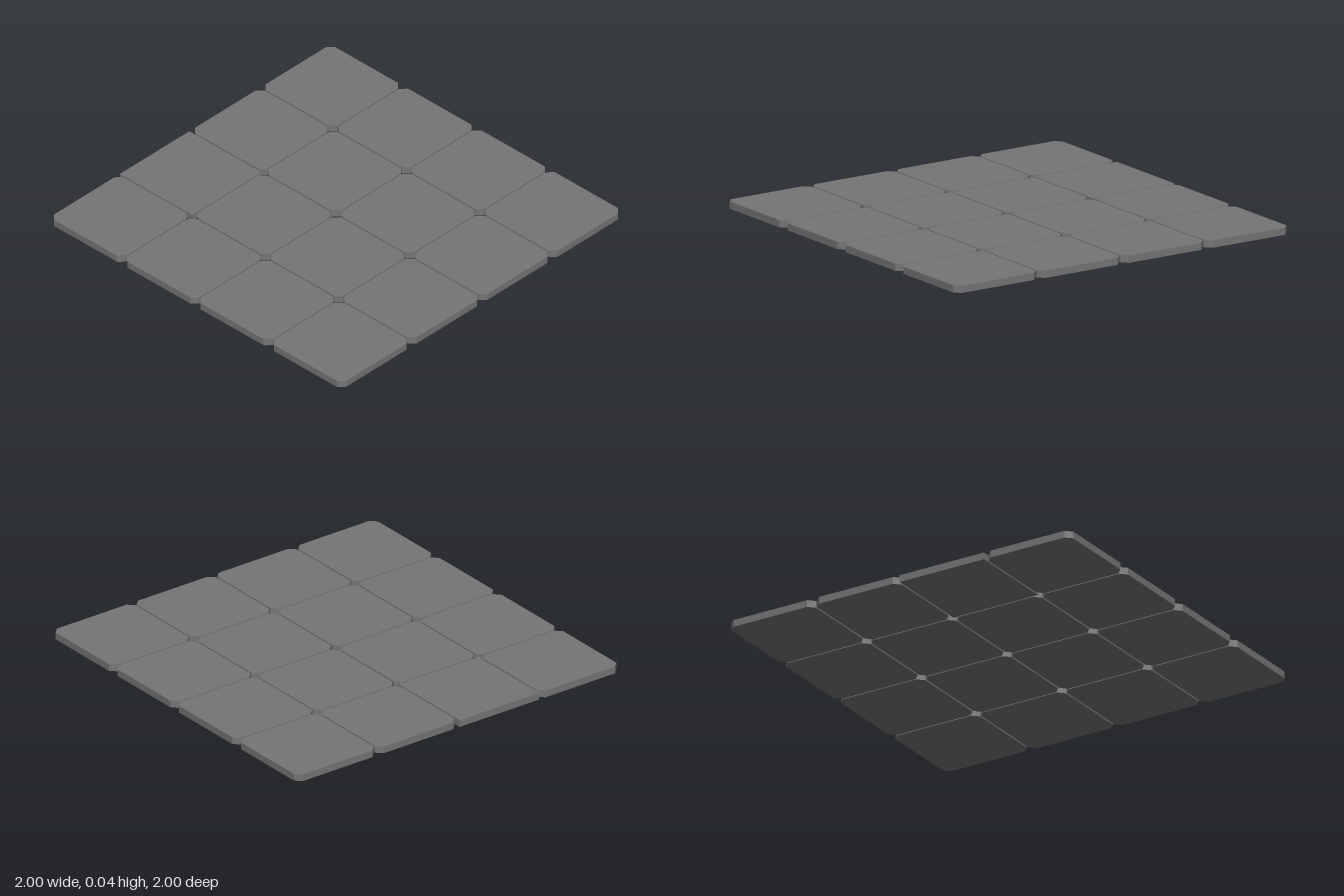
import * as THREE from 'three';

const COUNT = 4, GAP = 0.008, HEIGHT = 0.037, CHAMFER = 0.031;
const SIZE = (2 - GAP * (COUNT - 1)) / COUNT;

// Square slab with its four corners cut off diagonally
function chamferedTile() {
  const h = SIZE / 2, k = h - CHAMFER;
  const outline = [[k, -h], [h, -k], [h, k], [k, h], [-k, h], [-h, k], [-h, -k], [-k, -h]];
  const shape = new THREE.Shape(outline.map(([x, y]) => new THREE.Vector2(x, y)));
  return new THREE.ExtrudeGeometry(shape, { depth: HEIGHT, bevelEnabled: false }).rotateX(-Math.PI / 2);
}

export function createModel() {
  const group = new THREE.Group();
  group.name = 'tiledFloor';
  const material = new THREE.MeshStandardMaterial({ color: 0x757575, flatShading: true });
  const chamfered = chamferedTile();
  const plain = new THREE.BoxGeometry(SIZE, HEIGHT, SIZE).translate(0, HEIGHT / 2, 0);

  // Grid of tiles, back row first; one tile in the back row keeps its square corners
  for (let row = 0; row < COUNT; row++) {
    for (let col = 0; col < COUNT; col++) {
      const isPlain = row === 0 && col === 1;
      const tile = new THREE.Mesh(isPlain ? plain : chamfered, material);
      tile.name = isPlain ? 'squareTile' : `tile_${row + 1}_${col + 1}`;
      tile.position.set(
        -1 + SIZE / 2 + col * (SIZE + GAP), 0,
        -1 + SIZE / 2 + row * (SIZE + GAP));
      group.add(tile);
    }
  }
  return group;
}
